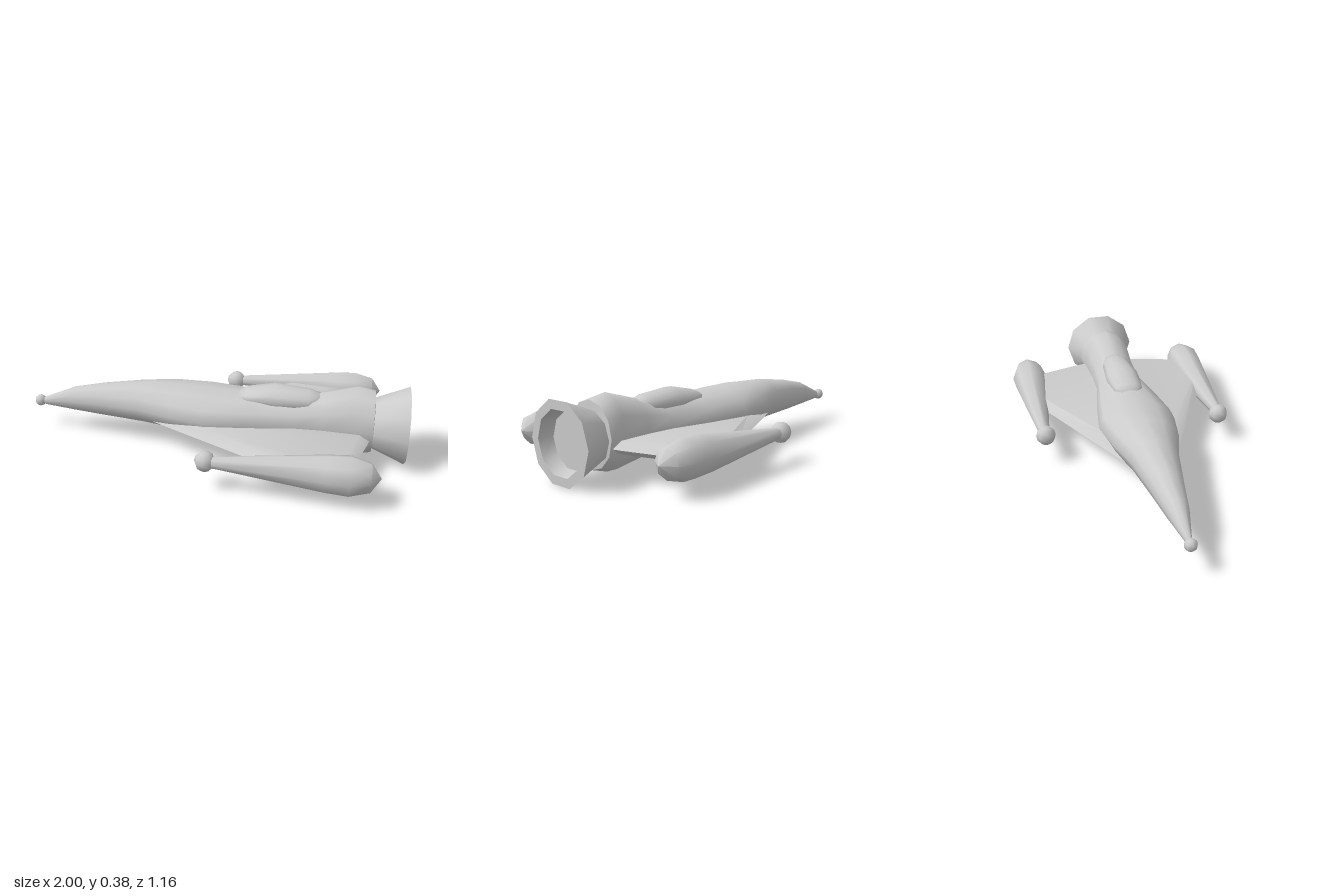
import * as THREE from 'three';
import { toCreasedNormals } from 'three/addons/utils/BufferGeometryUtils.js';

const material = new THREE.MeshStandardMaterial({ color: 0xcccccc });

// Skin closed rings of [x, y, z] points; rings turn from +y to +z while advancing along +x
function skin(rings, crease) {
  const n = rings[0].length;
  const index = [];
  for (let i = 0; i < rings.length - 1; i++) {
    for (let j = 0; j < n; j++) {
      const k = (j + 1) % n;
      const a = i * n + j, b = a + n, c = i * n + k, d = c + n;
      index.push(a, c, b, b, c, d);
    }
  }
  const geo = new THREE.BufferGeometry();
  geo.setAttribute('position', new THREE.Float32BufferAttribute(rings.flat(2), 3));
  geo.setIndex(index);
  return toCreasedNormals(geo, crease);
}

// Elliptical sections along x, each [x, centre y, half height, half width]
function loft(sections, sides, crease, turn = 0) {
  return skin(sections.map(([x, y, h, w]) => Array.from({ length: sides }, (_, j) => {
    const a = turn + (j / sides) * Math.PI * 2;
    return [x, y + h * Math.cos(a), w * Math.sin(a)];
  })), crease);
}

function add(parent, name, geometry, x = 0, y = 0, z = 0) {
  const mesh = new THREE.Mesh(geometry, material);
  mesh.name = name;
  mesh.position.set(x, y, z);
  parent.add(mesh);
  return mesh;
}

export function createModel() {
  const ship = new THREE.Group();
  ship.name = 'rocketShip';

  // Fuselage: x, bottom, top, half width
  const hull = [
    [-0.97, 0.154, 0.156, 0.002], [-0.94, 0.135, 0.18, 0.015], [-0.77, 0.122, 0.253, 0.055],
    [-0.6, 0.11, 0.288, 0.083], [-0.38, 0.1, 0.318, 0.123], [-0.2, 0.092, 0.325, 0.175],
    [-0.02, 0.086, 0.318, 0.204], [0.2, 0.079, 0.308, 0.172], [0.43, 0.065, 0.302, 0.127],
    [0.58, 0.042, 0.338, 0.125], [0.74, 0.012, 0.384, 0.136], [0.83, 0.038, 0.362, 0.146],
    [0.845, 0.19, 0.19, 0.001],
  ].map(([x, lo, hi, w]) => [x, (lo + hi) / 2, (hi - lo) / 2, w]);
  add(ship, 'fuselage', loft(hull, 12, 1));
  add(ship, 'noseBall', new THREE.SphereGeometry(0.031, 8, 6), -0.969, 0.157, 0);

  // Cockpit canopy
  add(ship, 'canopy', loft([
    [0.138, 0.295, 0.001, 0.001], [0.142, 0.295, 0.015, 0.05], [0.18, 0.295, 0.035, 0.078],
    [0.32, 0.295, 0.065, 0.093], [0.5, 0.29, 0.056, 0.076], [0.555, 0.295, 0.035, 0.055],
    [0.585, 0.3, 0.001, 0.001],
  ], 12, 1.2));

  // Ten-sided flared nozzle with a recessed floor
  add(ship, 'engineNozzle', loft([
    [0.82, 0.001], [0.82, 0.126], [1, 0.2], [1, 0.155], [0.93, 0.137], [0.93, 0.001],
  ].map(([x, r]) => [x, 0.19, r, r]), 10, 0.7, Math.PI / 10));

  // Wing sections from root to tip: z, leading x, trailing x, leading bevel
  const wing = [
    [0.06, -0.42, 0.83, 0.2], [0.18, -0.2, 0.805, 0.14], [0.48, 0.38, 0.72, 0.09],
  ].map(([z, lead, trail, bevel]) => [
    [lead, 0, z], [lead + bevel, -0.031, z], [trail - 0.05, -0.031, z],
    [trail, 0, z], [trail - 0.05, 0.031, z], [lead + bevel, 0.031, z],
  ]);
  const wingGeometry = skin(wing.map((ring) => ring.reverse()), 0.6);
  if (faceUp(wingGeometry) < 0) wingGeometry.scale(1, -1, 1);

  // Wing-tip pod, eight-sided with a blunt pointed tail
  const podGeometry = loft([
    [0.05, 0.001], [0.06, 0.028], [0.12, 0.033], [0.62, 0.091], [0.73, 0.098],
    [0.825, 0.071], [0.872, 0.001],
  ].map(([x, r]) => [x, 0, r, r]), 8, 0.85);

  // Mirror both assemblies by a half turn about the long axis
  for (const side of [1, -1]) {
    const half = new THREE.Group();
    half.name = side > 0 ? 'frontWingAssembly' : 'rearWingAssembly';
    half.position.y = 0.153;
    half.rotation.x = side > 0 ? 0 : Math.PI;
    add(half, 'wing', wingGeometry);
    add(half, 'pod', podGeometry, 0, 0, 0.48);
    add(half, 'podBall', new THREE.SphereGeometry(0.052, 8, 6), 0.05, 0, 0.475);
    ship.add(half);
  }
  return ship;
}

// Sum of normal y over points above the wing plane: positive when faces point outward
function faceUp(geometry) {
  const p = geometry.attributes.position, n = geometry.attributes.normal;
  let sum = 0;
  for (let i = 0; i < p.count; i++) sum += p.getY(i) * n.getY(i);
  return sum;
}
